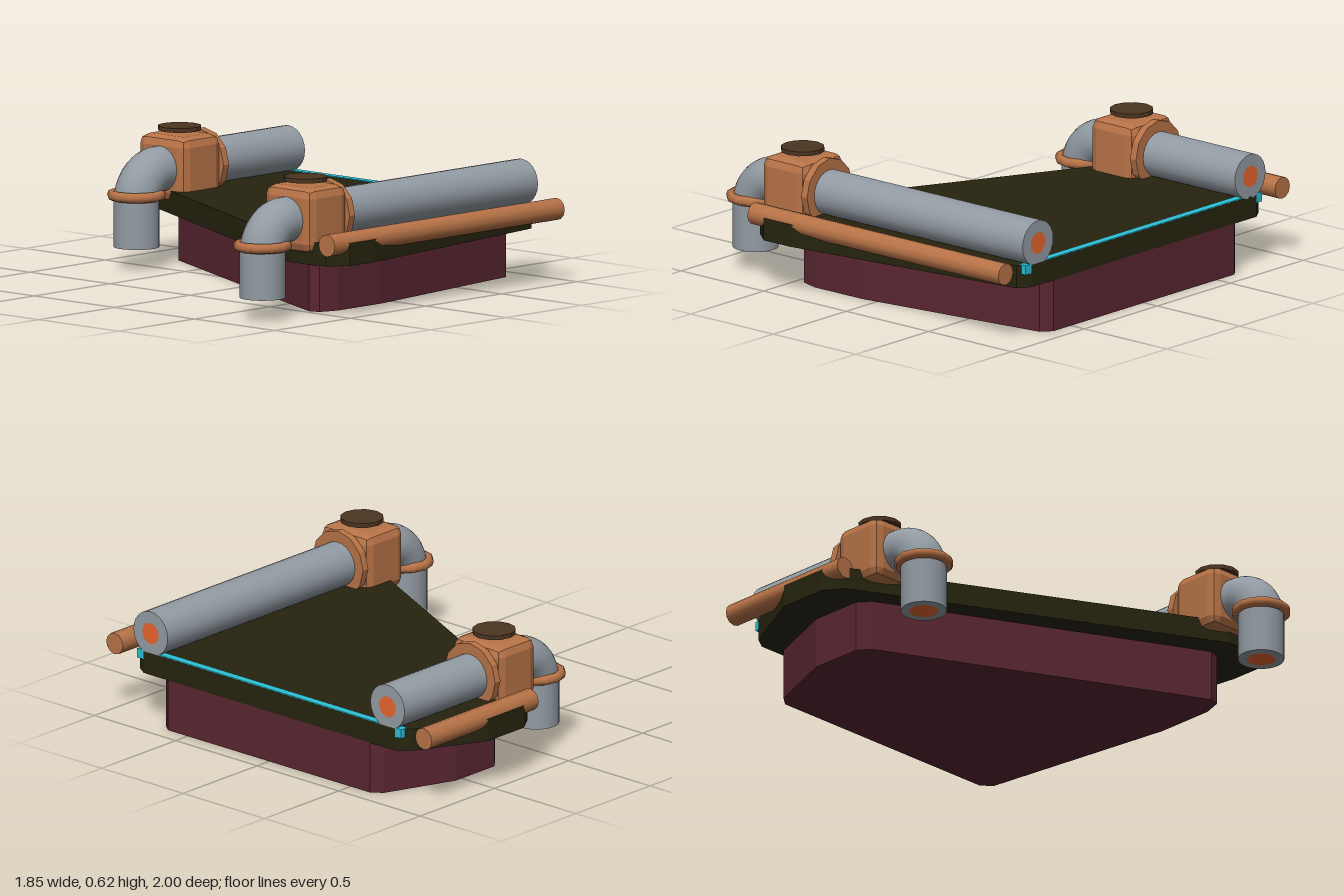
import * as THREE from 'three';
import { RoundedBoxGeometry } from 'three/addons/geometries/RoundedBoxGeometry.js';

const mat = (name, color) => {
  const m = new THREE.MeshStandardMaterial({ color });
  m.name = name;
  return m;
};

export function createModel() {
  const olive = mat('dark olive', 0x26240f);
  const maroon = mat('maroon', 0x5a2631);
  const steel = mat('grey steel', 0x929ba3);
  const copper = mat('copper', 0xb87347);
  const brown = mat('dark brown', 0x4c3420);
  const cyan = mat('cyan', 0x2cc0d6);
  const orange = mat('glow orange', 0xf26a30);

  const model = new THREE.Group();
  model.name = 'wingPanel';

  const add = (parent, name, geo, material, x = 0, y = 0, z = 0) => {
    const mesh = new THREE.Mesh(geo, material);
    mesh.name = name;
    mesh.position.set(x, y, z);
    parent.add(mesh);
    return mesh;
  };
  // Horizontal plate from an outline of [x, z] points
  const plate = (points, height) => {
    const shape = new THREE.Shape(points.map(([x, z]) => new THREE.Vector2(x, -z)));
    return new THREE.ExtrudeGeometry(shape, { depth: height, bevelEnabled: false }).rotateX(-Math.PI / 2);
  };
  // Cylinder lying along x
  const xCylinder = (r, length, sides) =>
    new THREE.CylinderGeometry(r, r, length, sides).rotateZ(-Math.PI / 2);
  const faceted = (geo) => {
    const g = geo.index ? geo.toNonIndexed() : geo;
    g.computeVertexNormals();
    return g;
  };

  // Tapered deck and the smaller block under it
  add(model, 'deck', plate([
    [0.92, -0.77], [0.92, 0.77], [0.88, 0.83], [-0.34, 1], [-0.5, 1], [-0.585, 0.93],
    [-0.6, 0.87], [-0.6, 0.71], [0.17, -0.86], [0.21, -0.94], [0.3, -1], [0.54, -1], [0.88, -0.83],
  ], 0.105), olive, 0, 0.24, 0);
  add(model, 'underBlock', plate([
    [0.92, -0.62], [0.92, 0.62], [0.88, 0.67], [-0.08, 0.8], [-0.37, 0.8], [-0.46, 0.77],
    [-0.475, 0.72], [-0.42, 0.6], [0.22, -0.75], [0.28, -0.8], [0.54, -0.8], [0.88, -0.67],
  ], 0.241), maroon);

  // Light strip along the straight edge
  add(model, 'lightStrip', new THREE.BoxGeometry(0.04, 0.044, 1.62), cyan, 0.899, 0.327, 0);

  const END = 0.92, R = 0.105, BEND = 0.14, PIPE_Y = 0.44;

  // Pipe with elbow, collar, valve box, flange and cap; x is the valve centre
  function pipeAssembly(name, x, z) {
    const g = new THREE.Group();
    g.name = name;
    g.position.z = z;
    model.add(g);
    const down = x - 0.285;
    const start = down + BEND;
    add(g, 'mainPipe', xCylinder(R, END - start, 24), steel, (END + start) / 2, PIPE_Y, 0);
    add(g, 'elbow', new THREE.TorusGeometry(BEND, R, 24, 12, Math.PI / 2).rotateZ(Math.PI / 2),
      steel, start, PIPE_Y - BEND, 0);
    add(g, 'downPipe', new THREE.CylinderGeometry(R, R, 0.2, 24), steel, down, 0.2, 0);
    add(g, 'collar', new THREE.TorusGeometry(0.113, 0.0235, 8, 12).rotateX(Math.PI / 2),
      copper, down, 0.338, 0);
    add(g, 'valveBox', faceted(new RoundedBoxGeometry(0.26, 0.3, 0.295, 1, 0.045)),
      copper, x, PIPE_Y, 0);
    add(g, 'flange', faceted(xCylinder(0.155, 0.036, 12)), copper, x + 0.145, PIPE_Y + 0.003, 0);
    add(g, 'valveCap', faceted(new THREE.CylinderGeometry(0.1, 0.1, 0.02, 12)), brown, x, 0.615, 0);
    // Glowing centres of the pipe ends
    add(g, 'endGlow', new THREE.CircleGeometry(0.05, 20).rotateY(Math.PI / 2), orange, END + 0.001, PIPE_Y, 0);
    add(g, 'outletGlow', new THREE.CircleGeometry(0.065, 20).rotateX(Math.PI / 2), orange, down, 0.099, 0);
  }
  pipeAssembly('frontPipe', -0.505, 0.727);
  pipeAssembly('backPipe', 0.202, -0.727);

  // Edge rods
  for (const [name, x0, z] of [['frontRod', -0.6, 0.948], ['backRod', 0.2, -0.948]]) {
    add(model, name, xCylinder(0.051, END - x0, 12), copper, (END + x0) / 2, 0.338, z);
  }

  return model;
}
